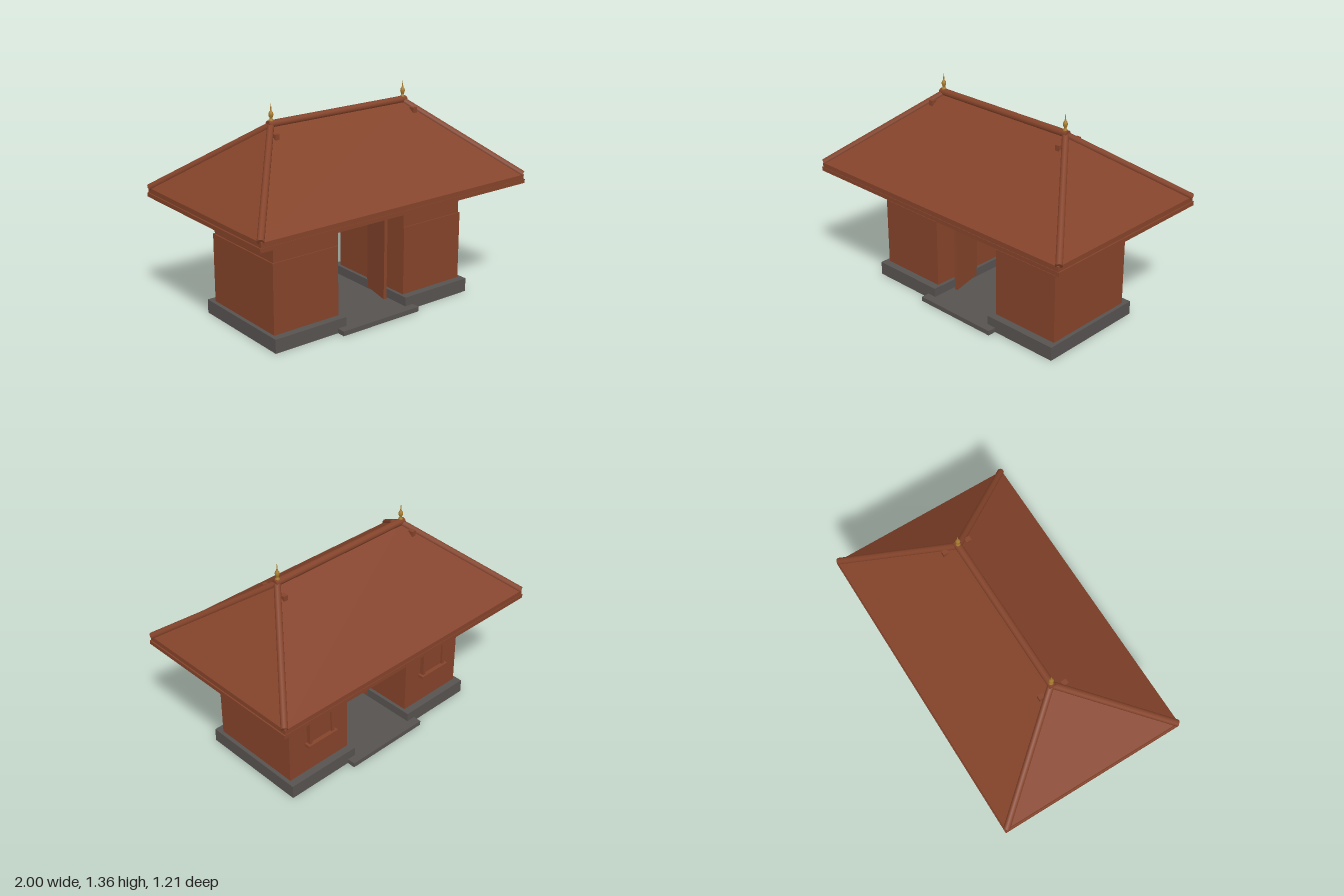
import * as THREE from 'three';

const brick = new THREE.MeshStandardMaterial({ name: 'red brown brick and timber', color: 0x84432a });
const stone = new THREE.MeshStandardMaterial({ name: 'grey stone', color: 0x565250 });
const gold = new THREE.MeshStandardMaterial({ name: 'old gold', color: 0xa97c2e });

const EAVE_X = 0.985, EAVE_Z = 0.6, EAVE_Y = 0.8, RIDGE_X = 0.5, RIDGE_Y = 1.235;

function add(parent, name, geometry, material) {
  const mesh = new THREE.Mesh(geometry, material);
  mesh.name = name;
  parent.add(mesh);
  return mesh;
}

// Box given by its limits on each axis
function box(parent, name, material, x0, x1, y0, y1, z0, z1) {
  const g = new THREE.BoxGeometry(Math.abs(x1 - x0), y1 - y0, Math.abs(z1 - z0));
  g.translate((x0 + x1) / 2, (y0 + y1) / 2, (z0 + z1) / 2);
  return add(parent, name, g, material);
}

// Square timber between two points
function beam(parent, name, a, b, width, height) {
  const p = new THREE.Vector3(...a), q = new THREE.Vector3(...b);
  const m = add(parent, name, new THREE.BoxGeometry(width, height, p.distanceTo(q)), brick);
  m.position.copy(p).lerp(q, 0.5);
  m.lookAt(q);
  return m;
}

// Rounded cap tile line between two points
function cap(parent, name, a, b, radius) {
  const p = new THREE.Vector3(...a), q = new THREE.Vector3(...b);
  const m = add(parent, name, new THREE.CylinderGeometry(radius, radius, p.distanceTo(q), 10), brick);
  m.position.copy(p).lerp(q, 0.5);
  m.quaternion.setFromUnitVectors(new THREE.Vector3(0, 1, 0), q.sub(p).normalize());
  return m;
}

// Four hip slopes, facing out or (flipped) facing in
function hipSlopes(drop, flip) {
  const e = EAVE_Y - drop, r = RIDGE_Y - drop;
  const c = [
    [-EAVE_X, e, EAVE_Z], [EAVE_X, e, EAVE_Z], [EAVE_X, e, -EAVE_Z], [-EAVE_X, e, -EAVE_Z],
    [-RIDGE_X, r, 0], [RIDGE_X, r, 0],
  ];
  const faces = [[0, 1, 5], [0, 5, 4], [2, 3, 4], [2, 4, 5], [1, 2, 5], [3, 0, 4]];
  const points = faces.flatMap((f) => (flip ? [...f].reverse() : f).flatMap((i) => c[i]));
  const g = new THREE.BufferGeometry();
  g.setAttribute('position', new THREE.Float32BufferAttribute(points, 3));
  g.computeVertexNormals();
  return g;
}

function buildRoof() {
  const roof = new THREE.Group();
  roof.name = 'roof';
  add(roof, 'roofSlopes', hipSlopes(0, false), brick);
  add(roof, 'roofUnderside', hipSlopes(0.035, true), brick);

  // Two-step eave boards
  for (const s of [-1, 1]) {
    box(roof, 'eaveBoard', brick, -0.985, 0.985, 0.765, 0.8, s * 0.58, s * 0.6);
    box(roof, 'eaveBoard', brick, s * 0.965, s * 0.985, 0.765, 0.8, -0.6, 0.6);
    box(roof, 'fascia', brick, -0.993, 0.993, 0.745, 0.77, s * 0.58, s * 0.603);
    box(roof, 'fascia', brick, s * 0.97, s * 0.993, 0.745, 0.77, -0.6, 0.6);
  }

  // Ridge, hips and the small blocks at the heads of the hips
  cap(roof, 'ridgeCap', [-0.52, 1.238, 0], [0.52, 1.238, 0], 0.023);
  for (const sx of [-1, 1]) {
    for (const sz of [-1, 1]) {
      cap(roof, 'hipCap', [sx * 0.5, 1.232, 0], [sx * 0.983, 0.802, sz * 0.592], 0.021);
      box(roof, 'hipBlock', brick, sx * 0.505, sx * 0.535, 1.165, 1.2, sz * 0.06, sz * 0.095);
      beam(roof, 'hipRafter', [sx * 0.5, 1.18, 0], [sx * 0.96, 0.768, sz * 0.575], 0.022, 0.03);
    }
  }

  // Rafters under the long slopes, cut short where they meet the hips
  const slope = (RIDGE_Y - EAVE_Y) / EAVE_Z;
  const under = (z) => RIDGE_Y - 0.045 - slope * z;
  for (let k = -4; k <= 4; k++) {
    const x = k * 0.175;
    const top = Math.max(0.02, EAVE_Z * (Math.abs(x) - RIDGE_X) / (EAVE_X - RIDGE_X));
    for (const s of [-1, 1]) {
      beam(roof, 'rafter', [x, under(top), s * top], [x, under(0.575), s * 0.575], 0.014, 0.03);
    }
  }
  // Rafters under the hip ends
  for (const s of [-1, 1]) {
    for (const z of [-0.35, -0.175, 0, 0.175, 0.35]) {
      const t = Math.abs(z) / EAVE_Z;
      const x = RIDGE_X + t * (EAVE_X - RIDGE_X);
      beam(roof, 'endRafter', [s * x, under(Math.abs(z)), z], [s * 0.96, 0.787, z], 0.014, 0.022);
    }
  }
  return roof;
}

function buildFinial(x) {
  const profile = [
    [0, 1.25], [0.014, 1.25], [0.014, 1.262], [0.008, 1.268], [0.008, 1.276], [0.013, 1.285],
    [0.0145, 1.296], [0.012, 1.307], [0.006, 1.315], [0.004, 1.325], [0.003, 1.34], [0, 1.36],
  ].map(([r, y]) => new THREE.Vector2(r, y));
  const g = new THREE.LatheGeometry(profile, 16);
  g.translate(x, 0, 0);
  return new THREE.Mesh(g, gold);
}

// Blind window on the back wall
function buildWindow(x) {
  const w = new THREE.Group();
  w.name = 'window';
  box(w, 'windowPanel', brick, -0.08, 0.08, 0.3, 0.51, -0.31, -0.33);
  for (const s of [-1, 1]) box(w, 'windowPost', brick, s * 0.077, s * 0.097, 0.3, 0.51, -0.31, -0.343);
  box(w, 'windowRail', brick, -0.08, 0.08, 0.488, 0.508, -0.31, -0.34);
  box(w, 'windowHead', brick, -0.115, 0.115, 0.503, 0.523, -0.31, -0.354);
  box(w, 'windowSill', brick, -0.115, 0.115, 0.288, 0.306, -0.31, -0.357);
  w.position.x = x;
  return w;
}

// Door leaf standing open towards the front, turning on its rear edge
function buildDoor(s) {
  const door = new THREE.Group();
  door.name = s > 0 ? 'leftDoor' : 'rightDoor';
  box(door, 'doorLeaf', brick, -0.01, 0.01, 0.04, 0.575, 0, 0.235);
  door.position.set(s * 0.245, 0, -0.01);
  door.rotation.y = -s * 0.23;
  return door;
}

export function createModel() {
  const model = new THREE.Group();
  model.name = 'gatehouse';

  box(model, 'threshold', stone, -0.295, 0.295, 0, 0.03, -0.42, 0.42);
  for (const s of [-1, 1]) {
    // Solid wing on its plinth
    box(model, 'plinth', stone, s * 0.233, s * 0.745, 0, 0.088, -0.365, 0.365);
    box(model, 'wingWall', brick, s * 0.255, s * 0.72, 0.088, 0.53, -0.315, 0.315);
    box(model, 'wingTop', brick, s * 0.255, s * 0.712, 0.53, 0.61, -0.308, 0.308);
    box(model, 'doorPivot', brick, s * 0.243, s * 0.258, 0.575, 0.605, -0.03, 0.03);
    model.add(buildDoor(s), buildWindow(s * 0.485));
    const finial = buildFinial(s * 0.497);
    finial.name = 'finial';
    model.add(finial);
  }
  // Lintel course across both wings, and the attic wall above
  box(model, 'lintel', brick, -0.745, 0.745, 0.61, 0.658, -0.312, 0.312);
  box(model, 'atticWall', brick, -0.66, 0.66, 0.658, 0.82, -0.288, 0.288);
  model.add(buildRoof());
  return model;
}
